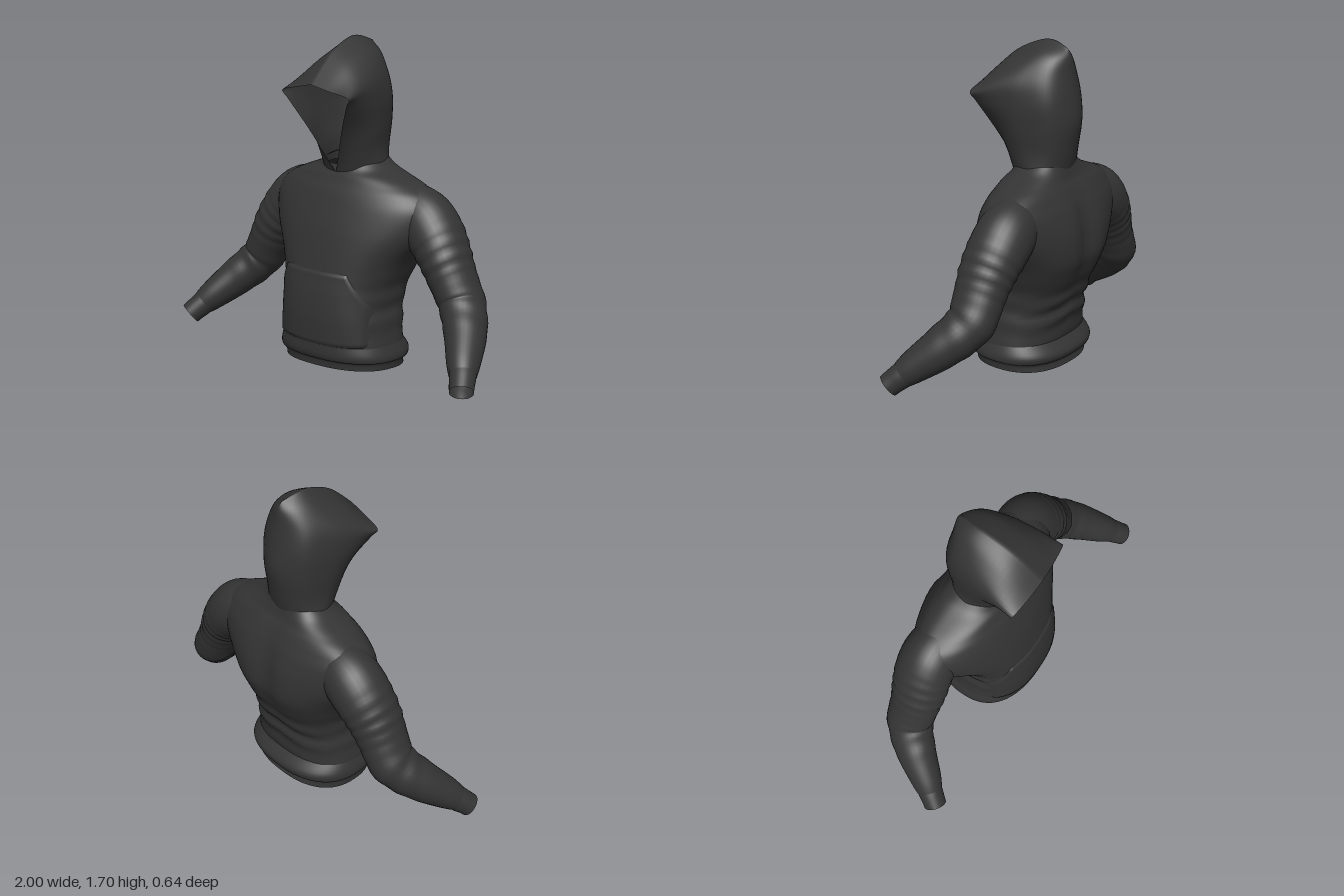
import * as THREE from 'three';
import { mergeVertices } from 'three/addons/utils/BufferGeometryUtils.js';

const fabric = new THREE.MeshStandardMaterial({ color: 0x343434, side: THREE.DoubleSide });
fabric.name = 'charcoal fabric';

// Smooth interpolation through rows of numbers, t in 0..rows-1
function sample(rows, t) {
  const last = rows.length - 1;
  const i = Math.min(Math.floor(t), last - 1), f = t - i;
  const at = (k) => rows[Math.max(0, Math.min(last, k))];
  const [a, b, c, d] = [at(i - 1), at(i), at(i + 1), at(i + 2)];
  return b.map((v, k) => {
    const m0 = (c[k] - a[k]) / 2, m1 = (d[k] - v) / 2, e = c[k] - v;
    return v + f * (m0 + f * (3 * e - 2 * m0 - m1 + f * (m0 + m1 - 2 * e)));
  });
}

// Skin a grid of points given by point(u, v), u and v in 0..1
function surface(name, nu, nv, point) {
  const pos = [], index = [];
  for (let i = 0; i <= nu; i++) {
    for (let j = 0; j <= nv; j++) {
      pos.push(...point(i / nu, j / nv));
      if (i < nu && j < nv) {
        const a = i * (nv + 1) + j, d = a + nv + 1;
        index.push(a, d, a + 1, a + 1, d, d + 1);
      }
    }
  }
  let geo = new THREE.BufferGeometry();
  geo.setAttribute('position', new THREE.Float32BufferAttribute(pos, 3));
  geo.setIndex(index);
  geo = mergeVertices(geo, 1e-4);
  geo.computeVertexNormals();
  const mesh = new THREE.Mesh(geo, fabric);
  mesh.name = name;
  return mesh;
}

// Body sections: y, half width, front z, back z, widest z, tilt, squareness
const band = [
  [0.022, 0.325, 0.275, -0.2, 0.04, 0.06, 2.4],
  [0.06, 0.33, 0.28, -0.195, 0.04, 0.06, 2.4],
  [0.075, 0.345, 0.3, -0.225, 0.04, 0.04, 2.4],
  [0.11, 0.345, 0.31, -0.232, 0.04, 0.02, 2.4],
  [0.16, 0.328, 0.31, -0.185, 0.04, 0, 2.4],
];
const body = [
  [0.16, 0.328, 0.31, -0.185, 0.04, 0, 2.4],
  [0.3, 0.315, 0.315, -0.205, 0.04, 0, 2.4],
  [0.42, 0.315, 0.305, -0.24, 0.03, 0, 2.4],
  [0.52, 0.345, 0.285, -0.285, 0, 0, 2.4],
  [0.62, 0.395, 0.265, -0.32, -0.02, 0, 2.3],
  [0.75, 0.495, 0.235, -0.318, -0.06, 0, 2],
  [0.86, 0.52, 0.195, -0.288, -0.085, 0, 2],
  [0.93, 0.48, 0.165, -0.257, -0.09, 0, 2],
  [0.975, 0.4, 0.135, -0.232, -0.09, 0, 2.2],
  [1.01, 0.31, 0.115, -0.21, -0.08, 0, 2.4],
  [1.045, 0.22, 0.1, -0.195, -0.06, -0.07, 2.4],
  [1.08, 0.168, 0.09, -0.182, -0.05, -0.14, 2.4],
];
const bump = (x, width) => Math.exp(-((x / width) ** 2));

function bodyPoint(rows, u, v) {
  const [y, w, zf, zb, zc, tilt, power] = sample(rows, u * (rows.length - 1));
  const a = v * Math.PI * 2, c = Math.cos(a), s = Math.sin(a);
  const bend = (k) => Math.sign(k) * Math.abs(k) ** (2 / power);
  let x = w * bend(c), z = zc + (s > 0 ? zf - zc : zc - zb) * bend(s);
  if (s < 0) {
    // spine groove and the folds bunched above the waistband
    z += 0.035 * bump(x, 0.07) * bump(y - 0.72, 0.22) * -s;
    z += 0.012 * Math.sin(y * 58 + Math.abs(x) * 9) * bump(y - 0.32, 0.1) * -s;
  }
  x += 0.006 * Math.sin(y * 50) * bump(y - 0.34, 0.12) * c;
  // the hem hangs a little lower on one side
  return [x, y + tilt * (z - zc) + 0.025 * x * bump(y, 0.08), z];
}

// Sleeve sections: x, y, z, radius in the arm's plane, radius in depth
const sleeve = [
  [0.2, 0.88, -0.08, 0.1, 0.1],
  [0.32, 0.855, -0.085, 0.136, 0.13],
  [0.42, 0.808, -0.09, 0.155, 0.15],
  [0.5, 0.738, -0.085, 0.147, 0.154],
  [0.57, 0.645, -0.072, 0.131, 0.147],
  [0.63, 0.54, -0.065, 0.118, 0.134],
  [0.7, 0.42, -0.055, 0.112, 0.125],
  [0.79, 0.315, 0.035, 0.103, 0.11],
  [0.87, 0.215, 0.15, 0.082, 0.086],
  [0.905, 0.17, 0.2, 0.068, 0.07],
];
const cuff = [
  [0.89, 0.19, 0.178, 0.066, 0.068],
  [0.912, 0.16, 0.21, 0.065, 0.066],
  [0.93, 0.135, 0.238, 0.062, 0.062],
  [0.948, 0.11, 0.263, 0.06, 0.06],
];

function tubePoint(rows, u, v, wrinkle) {
  const last = rows.length - 1, t = u * last;
  const [x, y, z, rIn, rZ] = sample(rows, t);
  const p0 = new THREE.Vector3(...sample(rows, Math.max(0, t - 0.05)));
  const p1 = new THREE.Vector3(...sample(rows, Math.min(last, t + 0.05)));
  const dir = p1.sub(p0).normalize();
  const n1 = new THREE.Vector3(0, 0, 1).addScaledVector(dir, -dir.z).normalize();
  const n2 = n1.clone().cross(dir);
  const a = v * Math.PI * 2;
  // creases circling the upper arm and the elbow
  const k = 1 + wrinkle * (0.024 * Math.sin(t * 12 + Math.sin(a)) * bump(t - 4, 0.9)
    + 0.028 * Math.sin(t * 9 + 2 * Math.cos(a)) * bump(t - 6.2, 0.7));
  return new THREE.Vector3(x, y, z)
    .addScaledVector(n1, Math.cos(a) * rZ * k)
    .addScaledVector(n2, Math.sin(a) * rIn * k).toArray();
}

// Half sections of the hood from the opening's rim to the back seam
const hood = [
  [[0, 1.02, 0.105], [0.1, 1.01, 0.075], [0.18, 1.035, -0.05], [0.13, 1.035, -0.15], [0, 1.03, -0.185]],
  [[0.055, 1.13, 0.145], [0.135, 1.13, 0.085], [0.174, 1.14, -0.03], [0.13, 1.15, -0.16], [0, 1.16, -0.212]],
  [[0.12, 1.26, 0.195], [0.17, 1.26, 0.1], [0.19, 1.26, -0.02], [0.14, 1.28, -0.17], [0, 1.3, -0.237]],
  [[0.195, 1.39, 0.245], [0.208, 1.39, 0.12], [0.198, 1.4, -0.02], [0.145, 1.41, -0.165], [0, 1.42, -0.225]],
  [[0.222, 1.44, 0.262], [0.205, 1.49, 0.12], [0.178, 1.52, -0.02], [0.125, 1.53, -0.15], [0, 1.54, -0.205]],
  [[0.115, 1.465, 0.28], [0.115, 1.57, 0.14], [0.1, 1.63, -0.03], [0.07, 1.635, -0.14], [0, 1.63, -0.195]],
  [[0, 1.49, 0.29], [-0.01, 1.625, 0.14], [-0.02, 1.692, 0], [-0.02, 1.7, -0.09], [0, 1.67, -0.175]],
];

function hoodPoint(u, v) {
  const section = hood.map((half, i) => {
    const flip = i === hood.length - 1 ? 1 : -1; // the crown seam is shared by both halves
    const right = half.map(([x, y, z]) => [flip * x, y, z]);
    return sample([...right, ...half.slice(0, 4).reverse()], v * 8);
  });
  return sample(section, u * 6);
}

// Front pouch that follows the belly, its edges tucked into the cloth
function pocketPoint(u, v) {
  const [y, w, zf, , zc, , power] = sample(body, 0.02 + u * 3.26);
  const slant = THREE.MathUtils.clamp((y - 0.38) / 0.17, 0, 1);
  const x = (1 - 2 * v) * (0.3 - 0.1 * slant);
  const lift = u === 0 || u === 1 || v === 0 || v === 1 ? -0.006 : 0.007;
  const z = zc + (zf - zc) * (1 - Math.abs(x / w) ** power) ** (1 / power);
  return [x * (1 + lift * 3), y, z + lift];
}

export function createModel() {
  const group = new THREE.Group();
  group.name = 'hoodedSweatshirt';
  group.add(
    surface('waistband', 16, 64, (u, v) => bodyPoint(band, u, v)),
    surface('torso', 66, 64, (u, v) => bodyPoint(body, u, v)),
    surface('frontPocket', 24, 32, pocketPoint),
    surface('hood', 36, 48, hoodPoint),
  );
  for (const [side, sign] of [['left', 1], ['right', -1]]) {
    const arm = new THREE.Group();
    arm.name = side + 'Arm';
    arm.add(
      surface(side + 'Sleeve', 72, 32, (u, v) => tubePoint(sleeve, u, v, 1)),
      surface(side + 'Cuff', 9, 32, (u, v) => tubePoint(cuff, u, v, 0)),
    );
    arm.scale.x = sign;
    group.add(arm);
  }
  return group;
}
